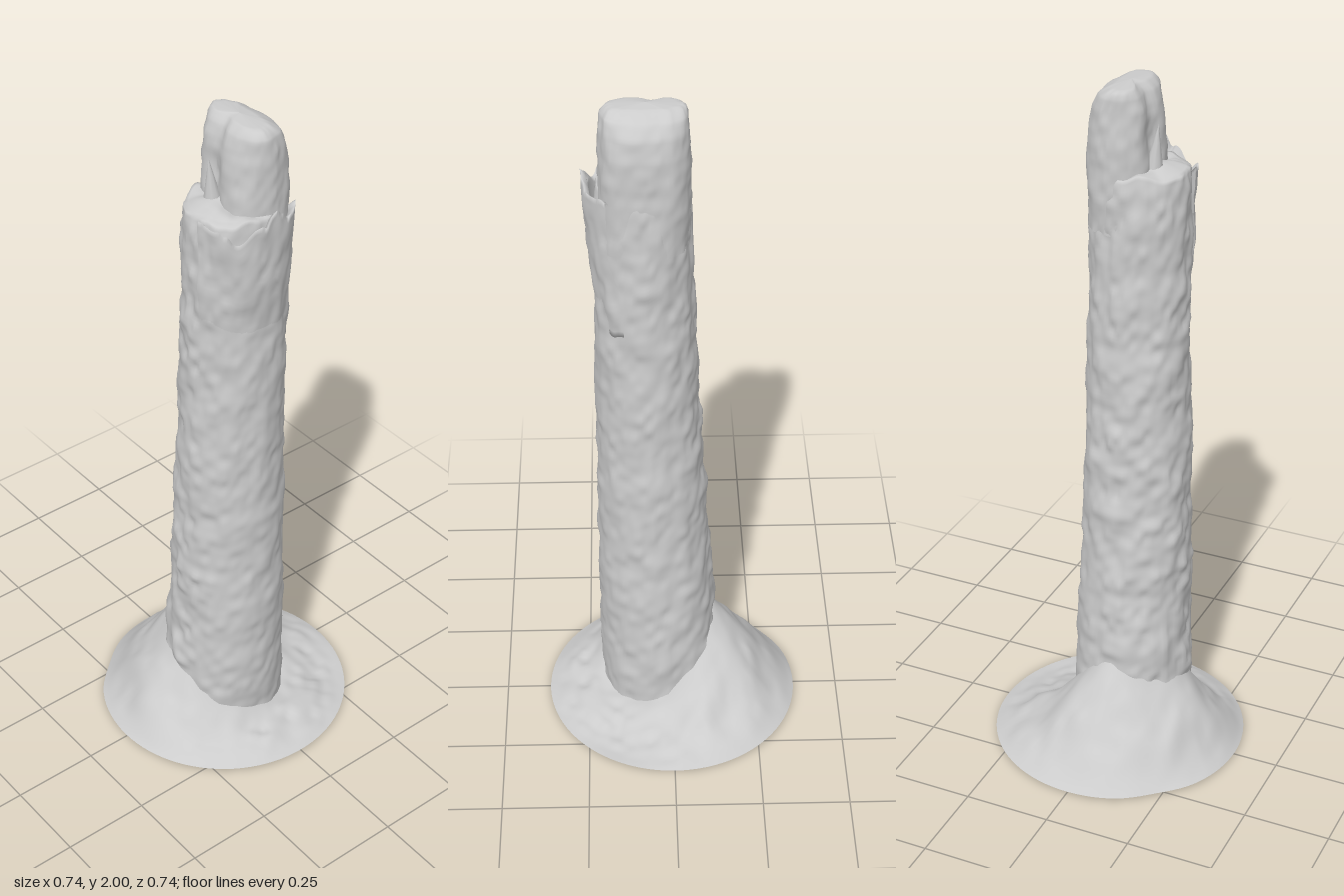
import * as THREE from 'three';

const lerp = THREE.MathUtils.lerp, smooth = THREE.MathUtils.smoothstep;

// Seeded smooth value noise in -1..1
function hash(x, y, z) {
  const s = Math.sin(x * 127.1 + y * 311.7 + z * 74.7) * 43758.5453;
  return (s - Math.floor(s)) * 2 - 1;
}
function noise(x, y, z) {
  const i = [x, y, z].map(Math.floor);
  const [u, v, w] = [x - i[0], y - i[1], z - i[2]].map(f => f * f * (3 - 2 * f));
  const h = (a, b, c) => hash(i[0] + a, i[1] + b, i[2] + c);
  const edge = (b, c) => lerp(h(0, b, c), h(1, b, c), u);
  return lerp(lerp(edge(0, 0), edge(1, 0), v), lerp(edge(0, 1), edge(1, 1), v), w);
}

// Surface through closed rings; point(a, t) gives [x, y, z], a = 0..2PI, t = 0..1
function loft(name, point, rows, cols, double = false) {
  const pos = [], idx = [];
  for (let i = 0; i <= rows; i++)
    for (let j = 0; j < cols; j++) pos.push(...point(j / cols * Math.PI * 2, i / rows));
  for (let i = 0; i < rows; i++)
    for (let j = 0; j < cols; j++) {
      const a = i * cols + j, b = i * cols + (j + 1) % cols, c = a + cols, d = b + cols;
      idx.push(a, c, b, b, c, d);
    }
  const g = new THREE.BufferGeometry();
  g.setAttribute('position', new THREE.Float32BufferAttribute(pos, 3));
  g.setIndex(idx);
  g.computeVertexNormals();
  const mat = new THREE.MeshStandardMaterial({ color: 0xcccccc, side: double ? THREE.DoubleSide : THREE.FrontSide });
  const mesh = new THREE.Mesh(g, mat);
  mesh.name = name;
  return mesh;
}

// Rows of [y, xMin, xMax, zMin, zMax]
const TRUNK = [
  [0.02, -0.18, 0.142, -0.13, 0.2], [0.2, -0.2, 0.143, -0.135, 0.212], [0.35, -0.193, 0.138, -0.127, 0.212],
  [0.6, -0.183, 0.13, -0.105, 0.212], [1, -0.172, 0.12, -0.082, 0.21], [1.4, -0.165, 0.115, -0.062, 0.207],
  [1.82, -0.165, 0.108, -0.048, 0.2],
];
const TIP = [
  [1.6, -0.09, 0.105, -0.045, 0.19], [1.8, -0.085, 0.107, -0.05, 0.19], [1.88, -0.078, 0.105, -0.047, 0.188],
  [1.94, -0.072, 0.092, -0.043, 0.185], [1.975, -0.06, 0.07, -0.04, 0.182], [1.995, -0.04, 0.035, -0.03, 0.165],
];
function section(table, y) {
  let k = 0;
  while (k < table.length - 2 && y > table[k + 1][0]) k++;
  const [p, q] = [table[k], table[k + 1]];
  const f = THREE.MathUtils.clamp((y - p[0]) / (q[0] - p[0]), 0, 1);
  const [x0, x1, z0, z1] = [1, 2, 3, 4].map(n => lerp(p[n], q[n], f));
  return { cx: (x0 + x1) / 2, cz: (z0 + z1) / 2, rx: (x1 - x0) / 2, rz: (z1 - z0) / 2 };
}

// Point on a section, pushed out by `out` and scaled about the axis
function onSection(table, a, y, out = 0, scale = 1) {
  const s = section(table, y), c = Math.cos(a), n = Math.sin(a);
  return [s.cx + c * (s.rx + out) * scale, y, s.cz + n * (s.rz + out) * scale];
}

// Bark relief: rougher on the left and back, and towards the foot
function bark(a, y) {
  const c = Math.cos(a), s = Math.sin(a);
  const amp = 0.0045 + 0.004 * smooth(-c - s, -0.2, 1.2) * (1 - y / 2.4);
  return amp * (noise(c * 3.2 + 9, y * 14, s * 3.2) + 0.8 * noise(c * 7, y * 32 + 5, s * 7 + 3));
}
const rimHeight = a => 1.765 + 0.014 * noise(Math.cos(a) * 3 + 2, 3, Math.sin(a) * 3);

// Trunk: slanted lumpy foot, rough wall, and a broken shelf at the top
function footHeight(x, z) {
  return Math.max(0.004, lerp(0.14, 0.01, smooth(z, -0.13, 0.19)) + 0.02 * noise(x * 16, 8, z * 16));
}
function trunkPoint(a, t) {
  const base = onSection(TRUNK, a, 0.02, 0, 0.97);
  const low = footHeight(base[0], base[2]);
  if (t < 0.06) {
    const p = onSection(TRUNK, a, 0.02, 0, t / 0.06 * 0.97);
    p[1] = footHeight(p[0], p[2]);
    return p;
  }
  if (t <= 0.9) {
    const y = lerp(low, rimHeight(a), (t - 0.06) / 0.84);
    const burl = 0.008 * smooth(-Math.cos(a), 0.6, 1) * smooth(noise(2, y * 11, 5), 0.1, 0.6) * (1 - smooth(y, 0.5, 1.2));
    return onSection(TRUNK, a, y, bark(a, y) + burl - 0.01 * smooth(y, 1.72, 1.8));
  }
  const k = (t - 0.9) / 0.1;
  const p = onSection(TRUNK, a, rimHeight(a), -0.012, 1 - k);
  p[1] = lerp(p[1], 1.8, k) + 0.015 * noise(p[0] * 18, 4, p[2] * 18) * Math.sin(k * Math.PI);
  return p;
}

// Taller splintered heartwood, squarish in plan with a hollow on its left
function tipPoint(a, t) {
  const y = t < 0.85 ? lerp(1.6, 1.995, Math.pow(t / 0.85, 0.8)) : 1.995;
  const k = t < 0.85 ? 1 : (1 - t) / 0.15;
  const notch = 0.018 * Math.exp(-((a - 3.35) ** 2) / 0.08) * smooth(y, 1.6, 1.75);
  const p = onSection(TIP, a, y, bark(a, y) * 0.8 - notch + 0.006 * Math.sin(2 * a) ** 2, k);
  p[1] += 0.005 * (1 - k);
  return p;
}

// Loose bark plate on the front, merging downwards into the trunk except at its split right-hand edge;
// each ring runs up its outer face and down its inner face
function platePoint(a, t) {
  const u = a / Math.PI, outer = u <= 1, v = outer ? u : 2 - u;
  const ang = lerp(lerp(0.42, 0.72, smooth(v, 0.2, 0.6)), 2.9, t);
  const low = 1.36 + 0.01 * noise(t * 9, 1, 0);
  const high = 1.765 + 0.035 * Math.exp(-((t - 0.35) ** 2) / 0.006)
    - 0.04 * Math.exp(-((t - 0.65) ** 2) / 0.01) + 0.01 * noise(t * 25, 2, 7);
  const y = lerp(low, high, v);
  const sunk = -0.008 * smooth(t, 0.08, 0.25) * (1 - smooth(y, 1.36, 1.6));
  const lift = 0.003 + sunk + 0.032 * smooth(y, 1.36, 1.82) * (0.25 + 0.75 * smooth(Math.sin(ang), 0.4, 1));
  return onSection(TRUNK, ang, y, outer ? lift + bark(ang, y) : lift - 0.016);
}

// Earth mound, open below: low at the front, banked up behind and on one side
const BANK = [0.085, 0.055, 0.08, 0.14, 0.23, 0.26, 0.31, 0.22];
function bankHeight(a) {
  const f = a / (Math.PI / 4), i = Math.floor(f), k = f - i;
  const [p, q, r, s] = [7, 0, 1, 2].map(n => BANK[(i + n) % 8]);
  return q + 0.5 * k * (r - p + k * (2 * p - 5 * q + 4 * r - s + k * (3 * (q - r) + s - p)));
}
function moundPoint(a, t) {
  const bank = bankHeight(a), foot = onSection(TRUNK, a, bank, 0, 0.95);
  const r = 0.37 - 0.01 * Math.exp(-((a - 4.0) ** 2) / 0.05);
  const x = lerp(r * Math.cos(a), foot[0], t), z = lerp(r * Math.sin(a), foot[2], t);
  const lump = 0.016 * noise(x * 13, 6, z * 13) + 0.008 * noise(x * 30, 2, z * 30);
  const y = 0.01 + (bank - 0.01) * Math.pow(t, 1.1) + lump * Math.sin(Math.PI * t);
  return [x, Math.max(0.01, y), z];
}

export function createModel() {
  const model = new THREE.Group();
  model.name = 'brokenTreeTrunk';
  model.add(
    loft('earthMound', moundPoint, 24, 96, true),
    loft('trunk', trunkPoint, 200, 96),
    loft('splinteredTip', tipPoint, 50, 64),
    loft('looseBark', platePoint, 60, 48, true),
  );

  // Blunt shard leaning on the tip above the broken shelf
  const shard = new THREE.Mesh(new THREE.ConeGeometry(0.03, 0.15, 9, 3), new THREE.MeshStandardMaterial({ color: 0xcccccc }));
  shard.name = 'shard';
  shard.position.set(-0.08, 1.82, 0.05);
  shard.rotation.z = 0.1;
  model.add(shard);
  return model;
}
